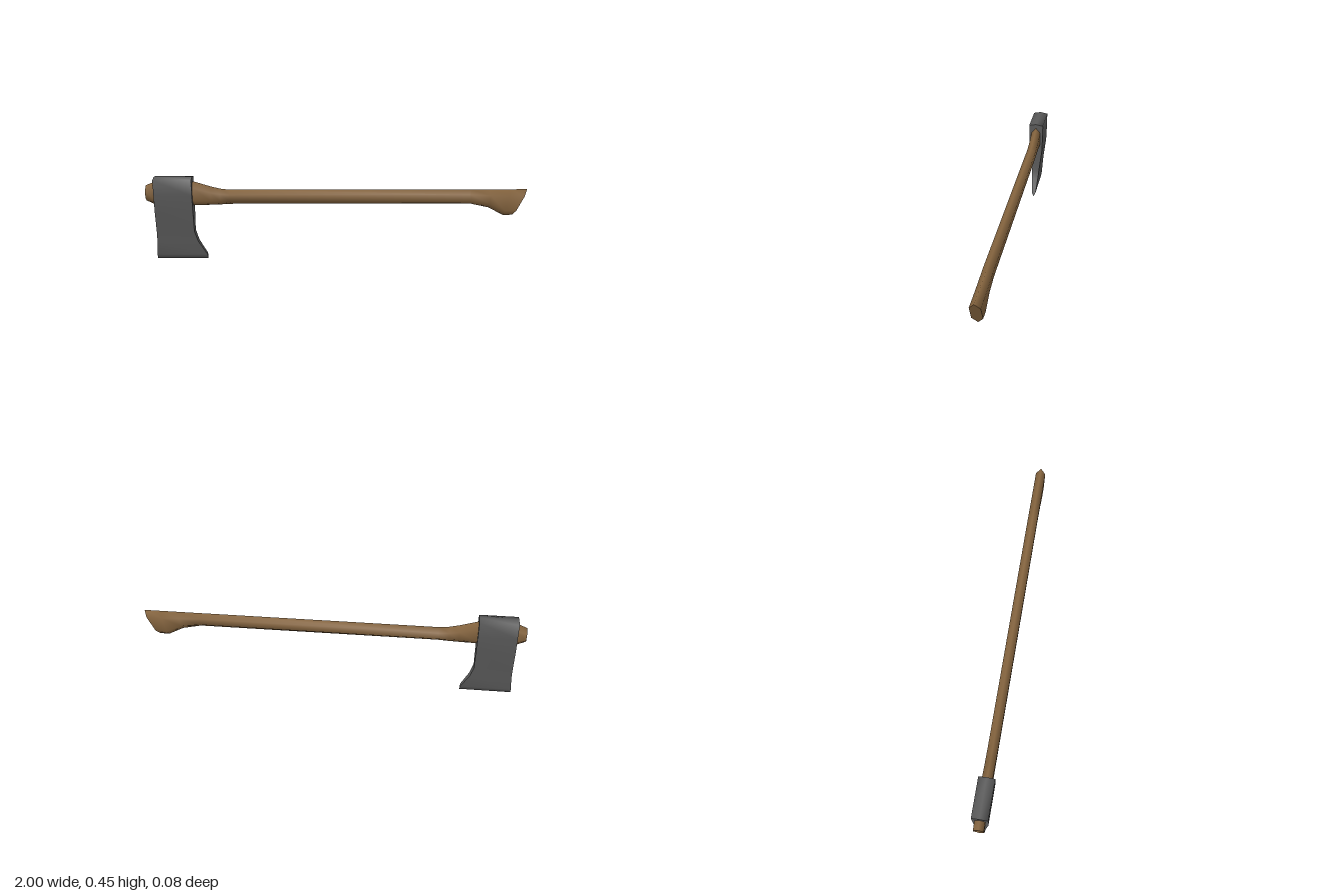
import * as THREE from 'three';

const wood = new THREE.MeshStandardMaterial({ color: 0x86653f });
wood.name = 'wood';
const steel = new THREE.MeshStandardMaterial({ color: 0x5a5a5a });
steel.name = 'steel';

// Smooth skin through rings running towards +x, with creased caps on both ends.
// Each ring starts at the top, runs down the +z side and back up the -z side.
function loft(rings) {
  const n = rings[0].length, pos = [], idx = [];
  const add = (ring) => {
    const start = pos.length / 3;
    ring.forEach((p) => pos.push(...p));
    return start;
  };
  const tri = (a, b, c) => {
    if (a !== b && b !== c && a !== c) idx.push(a, b, c);
  };
  const starts = rings.map(add);
  for (let k = 0; k < rings.length - 1; k++) {
    for (let i = 0; i < n; i++) {
      const j = (i + 1) % n, s = starts[k], t = starts[k + 1];
      tri(s + i, s + j, t + j);
      tri(s + i, t + j, t + i);
    }
  }
  // caps are strips between mirrored ring points
  for (const [ring, flip] of [[rings[0], true], [rings[rings.length - 1], false]]) {
    const s = add(ring);
    for (let i = 0; i < n / 2; i++) {
      const a = s + i, b = s + i + 1, c = s + n - i - 1, d = s + ((n - i) % n);
      if (flip) { tri(a, c, b); tri(a, d, c); } else { tri(a, b, c); tri(a, c, d); }
    }
  }
  const g = new THREE.BufferGeometry();
  g.setAttribute('position', new THREE.Float32BufferAttribute(pos, 3));
  g.setIndex(idx);
  g.computeVertexNormals();
  return g;
}

// Hexagonal handle section, which may lean between its top and bottom points
function handleRing([xTop, yTop, xBottom, yBottom]) {
  const h = yTop - yBottom, w = 0.026;
  const f = Math.min(0.28, 0.03 / h);
  const at = (t, z) => [xTop + (xBottom - xTop) * t, yTop - h * t, z];
  return [at(0, 0), at(f, w), at(1 - f, w), at(1, 0), at(1 - f, -w), at(f, -w)];
}

export function createModel() {
  const group = new THREE.Group();

  // Handle: top x, top y, bottom x, bottom y
  const handle = new THREE.Mesh(loft([
    [-1, 0.407, -1, 0.324],
    [-0.95, 0.428, -0.95, 0.3],
    [-0.75, 0.428, -0.75, 0.298],
    [-0.66, 0.4, -0.66, 0.3],
    [-0.61, 0.388, -0.61, 0.302],
    [-0.56, 0.382, -0.56, 0.305],
    [0.7, 0.382, 0.7, 0.305],
    [0.81, 0.382, 0.8, 0.283],
    [0.91, 0.382, 0.88, 0.241],
    [1, 0.382, 0.93, 0.241],
  ].map(handleRing)), wood);
  handle.name = 'handle';
  group.add(handle);

  // Axe head: y, half thickness, left x, right x, from the poll to the edge
  const profile = [
    [0.453, 0, -0.955, -0.755],
    [0.445, 0.041, -0.955, -0.755],
    [0.36, 0.04, -0.955, -0.755],
    [0.275, 0.037, -0.955, -0.755],
    [0.155, 0.022, -0.955, -0.755],
    [0.1, 0.0175, -0.956, -0.738],
    [0.025, 0.011, -0.963, -0.694],
    [0, 0, -0.963, -0.692],
  ];
  const loop = [
    ...profile,
    ...profile.slice(1, -1).reverse().map(([y, z, a, b]) => [y, -z, a, b]),
  ];
  const head = new THREE.Mesh(loft([
    loop.map(([y, z, a]) => [a, y, z]),
    loop.map(([y, z, , b]) => [b, y, z]),
  ]), steel);
  head.name = 'axeHead';
  group.add(head);

  return group;
}
